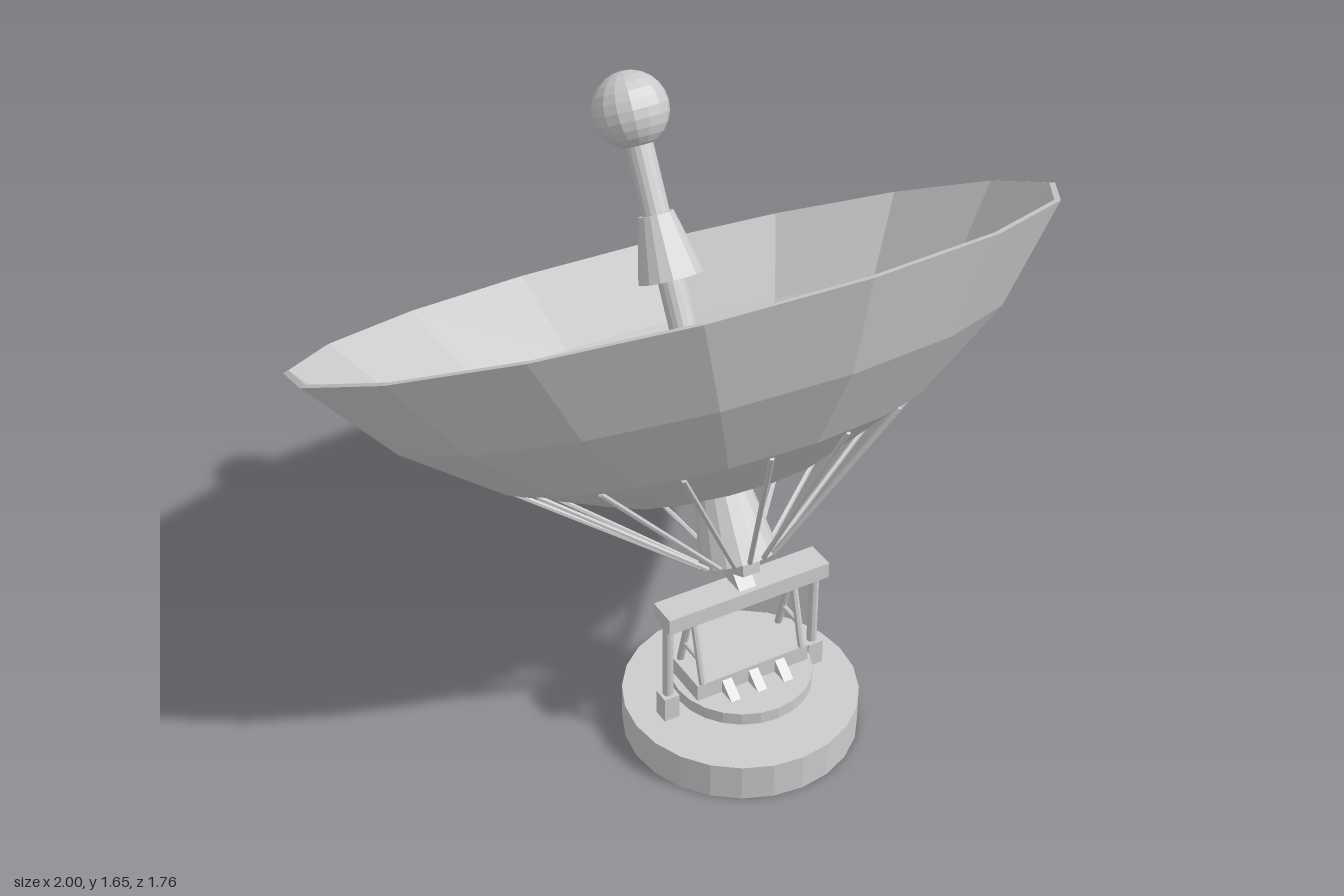
import * as THREE from 'three';

const material = new THREE.MeshStandardMaterial({ color: 0xcccccc, flatShading: true });
const V = (x, y, z) => new THREE.Vector3(x, y, z);

function add(parent, name, geometry, x = 0, y = 0, z = 0) {
  const mesh = new THREE.Mesh(geometry, material);
  mesh.name = name;
  mesh.position.set(x, y, z);
  parent.add(mesh);
  return mesh;
}

// Upright cylinder or cone between two heights
function column(parent, name, rBottom, rTop, y0, y1, sides = 16, x = 0, z = 0) {
  return add(parent, name, new THREE.CylinderGeometry(rTop, rBottom, y1 - y0, sides), x, (y0 + y1) / 2, z);
}

// Round bar between two points
function bar(parent, name, a, b, radius, sides = 8) {
  const dir = b.clone().sub(a);
  const mesh = add(parent, name, new THREE.CylinderGeometry(radius, radius, dir.length(), sides));
  mesh.position.copy(a).add(b).multiplyScalar(0.5);
  mesh.quaternion.setFromUnitVectors(V(0, 1, 0), dir.normalize());
  return mesh;
}

// Outline given as [z, y] points, extruded to a width centred along x
function sideProfile(points, width) {
  const shape = new THREE.Shape(points.map(([z, y]) => new THREE.Vector2(-z, y)));
  const geometry = new THREE.ExtrudeGeometry(shape, { depth: width, bevelEnabled: false });
  return geometry.translate(0, 0, -width / 2).rotateY(Math.PI / 2);
}

function buildDish() {
  const dish = new THREE.Group();
  dish.name = 'dishAssembly';

  // Faceted bowl with a thin wall; the rim plane is at y = 0
  const profile = [
    [0, -0.555], [0.29, -0.517], [0.567, -0.397], [0.807, -0.222], [0.998, 0],
    [0.983, 0.004], [0.796, -0.212], [0.559, -0.385], [0.286, -0.503], [0, -0.541],
  ].map(([r, y]) => new THREE.Vector2(r, y));
  add(dish, 'bowl', new THREE.LatheGeometry(profile, 16));

  // Feed mast on the dish axis
  column(dish, 'mastFlange', 0.105, 0.105, -0.55, -0.505, 24);
  column(dish, 'mastSleeve', 0.072, 0.072, -0.51, -0.235, 16);
  column(dish, 'mastRod', 0.036, 0.036, -0.25, 0.38, 16);
  column(dish, 'mastCone', 0.085, 0.046, 0, 0.165, 16);
  add(dish, 'feedBall', new THREE.SphereGeometry(0.098, 16, 12), 0, 0.431, 0);

  // Hub behind the bowl and the struts that brace the bowl from it
  column(dish, 'rearHub', 0.105, 0.068, -0.74, -0.53, 16);
  for (let i = 0; i < 16; i++) {
    const a = ((i + 0.5) / 16) * Math.PI * 2;
    const s = Math.sin(a), c = Math.cos(a);
    bar(dish, 'braceStrut', V(0.103 * s, -0.737, 0.103 * c), V(0.54 * s, -0.405, 0.54 * c), 0.007, 6);
  }

  dish.position.y = 1.177;
  dish.rotation.x = -0.492;
  return dish;
}

function buildMount() {
  const mount = new THREE.Group();
  mount.name = 'mount';

  // Round base and turntable
  column(mount, 'base', 0.314, 0.314, 0, 0.105, 24);
  column(mount, 'turntableNeck', 0.13, 0.13, 0.1, 0.142, 24);
  column(mount, 'turntable', 0.189, 0.189, 0.14, 0.175, 24);
  add(mount, 'plinth', new THREE.BoxGeometry(0.335, 0.05, 0.125), 0, 0.199, 0);

  // Triangular ribs on both long sides of the plinth
  for (const s of [1, -1]) {
    for (const x of [-0.08, 0, 0.08]) {
      const rib = add(mount, 'plinthRib', sideProfile([[0.06, 0.174], [0.06, 0.214], [0.112, 0.174]], 0.028), x);
      if (s < 0) rib.rotation.y = Math.PI;
    }
  }

  // Outer posts and inner A-frames carrying the crossbeam
  for (const s of [1, -1]) {
    add(mount, 'postFoot', new THREE.BoxGeometry(0.044, 0.075, 0.044), s * 0.22, 0.14, 0);
    column(mount, 'post', 0.014, 0.014, 0.17, 0.415, 10, s * 0.22);
    for (const t of [1, -1]) {
      bar(mount, 'frameLeg', V(s * 0.15, 0.222, t * 0.058), V(s * 0.15, 0.415, t * 0.006), 0.01);
    }
    bar(mount, 'frameTie', V(s * 0.15, 0.292, -0.04), V(s * 0.15, 0.292, 0.04), 0.008);
  }
  add(mount, 'crossbeam', new THREE.BoxGeometry(0.476, 0.046, 0.082), 0, 0.432, 0);

  // Cranked bracket joining the crossbeam to the hub
  const bracket = [[0.04, 0.552], [-0.075, 0.49], [-0.04, 0.452], [0.03, 0.452], [-0.006, 0.49], [0.044, 0.514]];
  add(mount, 'hubBracket', sideProfile(bracket, 0.05));

  mount.position.z = 0.371;
  return mount;
}

export function createModel() {
  const model = new THREE.Group();
  model.name = 'dishAntenna';
  model.add(buildMount(), buildDish());
  return model;
}
